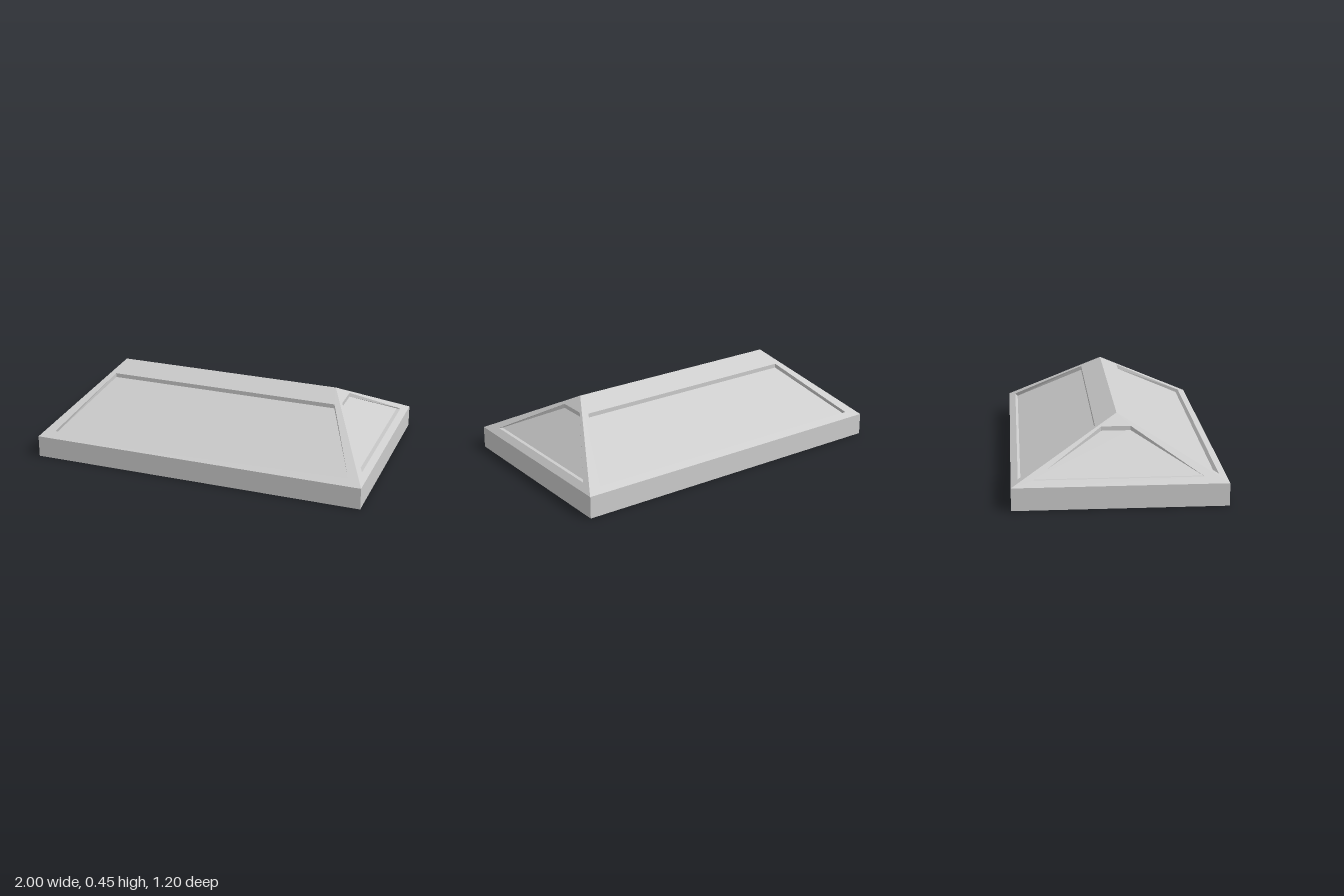
import * as THREE from 'three';

const EAVE = 0.13, RIDGE = 0.453, DROP = 0.025;

// Skin between two four-cornered rings (corners counter-clockwise from outside)
function ringBand(a, b) {
  return a.flatMap((_, i) => {
    const j = (i + 1) % 4;
    return [a[i], a[j], b[j], a[i], b[j], b[i]];
  });
}

function facetMesh(name, corners, material) {
  const geometry = new THREE.BufferGeometry().setFromPoints(corners);
  geometry.computeVertexNormals();
  const mesh = new THREE.Mesh(geometry, material);
  mesh.name = name;
  return mesh;
}

// One roof slope facing local +z, with a sunken panel.
// eave / ridge: [half width, distance out]; low / high: the same for the opening
function makeSlope(name, { eave, ridge, low, high, floorOut, shift = 0 }, material) {
  const heightAt = d => RIDGE - (RIDGE - EAVE) * (d - ridge[1]) / (eave[1] - ridge[1]);
  const ring = ([w0, d0], [w1, d1], dx = 0, drop = 0) => [
    [-w0, d0], [w0, d0], [w1, d1], [-w1, d1],
  ].map(([x, d]) => new THREE.Vector3(x + dx, heightAt(d) - drop, d));

  const edge = ring(eave, ridge);
  const opening = ring(low, high, shift);
  const floor = ring([low[0], floorOut], high, shift, DROP);

  const slope = new THREE.Group();
  slope.name = name;
  slope.add(
    facetMesh('border', ringBand(edge, opening), material),
    facetMesh('recessWalls', ringBand(opening, floor), material),
    facetMesh('recessedPanel', [0, 1, 2, 0, 2, 3].map(i => floor[i]), material),
  );
  return slope;
}

export function createModel() {
  const model = new THREE.Group();
  model.name = 'hippedRoof';
  const material = new THREE.MeshStandardMaterial({
    color: 0xcccccc, flatShading: true, side: THREE.DoubleSide,
  });

  // Rectangular slab under the roof
  const base = new THREE.Mesh(new THREE.BoxGeometry(2, EAVE, 1.2), material);
  base.name = 'baseSlab';
  base.position.y = EAVE / 2;
  model.add(base);

  // Long trapezoid slopes and triangular hip ends
  const long = { eave: [1, 0.6], ridge: [0.675, 0] };
  const hip = {
    eave: [0.6, 1], ridge: [0, 0.675],
    low: [0.47, 0.968], high: [0.0825, 0.737], floorOut: 0.945,
  };
  const slopes = [
    ['frontSlope', { ...long, low: [0.91, 0.55], high: [0.7, 0.111], floorOut: 0.535 }],
    ['leftHip', { ...hip, shift: 0.0075 }],
    ['backSlope', { ...long, low: [0.91, 0.56], high: [0.7, 0.123], floorOut: 0.545 }],
    ['rightHip', { ...hip, shift: -0.0075 }],
  ];
  slopes.forEach(([name, spec], i) => {
    const slope = makeSlope(name, spec, material);
    slope.rotation.y = i * Math.PI / 2;
    model.add(slope);
  });

  return model;
}
